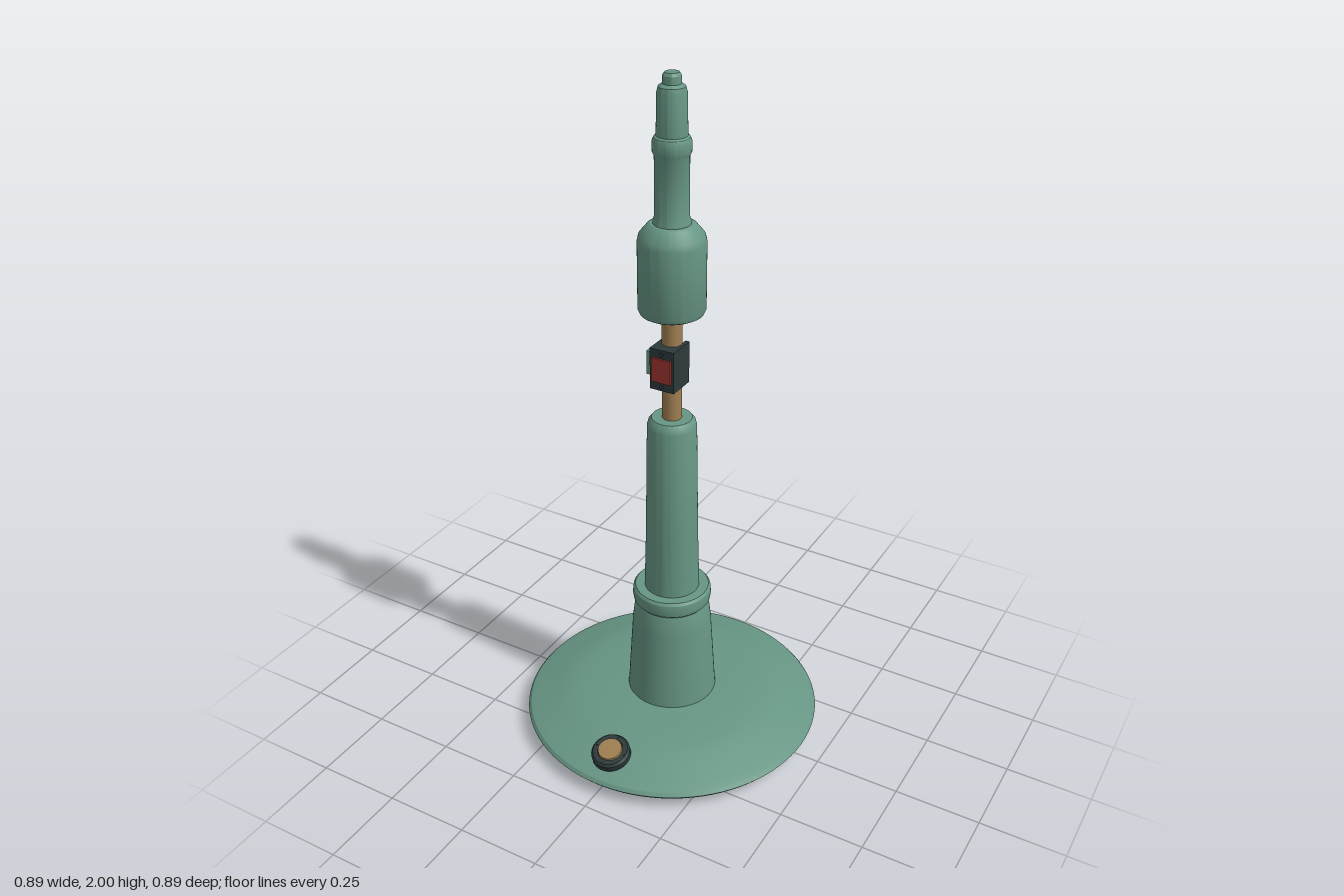
import * as THREE from 'three';
import { toCreasedNormals } from 'three/addons/utils/BufferGeometryUtils.js';

const mat = (name, color) => {
  const m = new THREE.MeshStandardMaterial({ color });
  m.name = name;
  return m;
};

export function createModel() {
  const green = mat('sage green', 0x679684);
  const brass = mat('brass', 0x9f7f52);
  const dark = mat('charcoal', 0x2d3a3b);
  const red = mat('red', 0x9e3530);
  const model = new THREE.Group();
  model.name = 'lampStand';

  const add = (name, geometry, material, x = 0, y = 0, z = 0, parent = model) => {
    const mesh = new THREE.Mesh(geometry, material);
    mesh.name = name;
    mesh.position.set(x, y, z);
    parent.add(mesh);
    return mesh;
  };
  // Turned part from [radius, height] pairs, listed bottom to top
  const turned = (name, profile, material, parent = model, segments = 64) => {
    const points = profile.map(([r, y]) => new THREE.Vector2(r, y));
    return add(name, toCreasedNormals(new THREE.LatheGeometry(points, segments), 0.5), material, 0, 0, 0, parent);
  };
  const box = (name, w, h, d, material, x, y, z, parent) =>
    add(name, new THREE.BoxGeometry(w, h, d), material, x, y, z, parent);

  // Shallow domed foot
  turned('base', [
    [0, 0.005], [0.385, 0.005], [0.40, 0.01], [0.435, 0.036], [0.444, 0.047], [0.436, 0.057], [0.41, 0.067],
    [0.345, 0.086], [0.315, 0.096], [0.28, 0.102], [0.22, 0.108], [0.13, 0.113], [0, 0.113],
  ], green, model, 96);

  // Tapered pedestal, collar and column
  turned('pedestal', [
    [0.134, 0.10], [0.132, 0.125], [0.117, 0.36], [0.112, 0.40], [0.104, 0.43], [0, 0.43],
  ], green);
  turned('collar', [
    [0, 0.425], [0.104, 0.425], [0.113, 0.435], [0.116, 0.452], [0.114, 0.472], [0.108, 0.48], [0, 0.482],
  ], green);
  turned('column', [
    [0.081, 0.47], [0.076, 0.65], [0.070, 1.015], [0.066, 1.03], [0.057, 1.041], [0, 1.041],
  ], green);

  // Brass rod
  add('rod', new THREE.CylinderGeometry(0.028, 0.028, 0.34, 32), brass, 0, 1.2, 0);

  // Socket and stepped finial
  turned('socket', [
    [0, 1.355], [0.078, 1.355], [0.087, 1.36], [0.092, 1.372], [0.092, 1.56], [0.088, 1.578],
    [0.066, 1.605], [0.058, 1.61], [0, 1.612],
  ], green);
  turned('finial', [
    [0.052, 1.60], [0.050, 1.618], [0.046, 1.63], [0.046, 1.79], [0.051, 1.80], [0.051, 1.828], [0.047, 1.838],
    [0.041, 1.842], [0.039, 1.95], [0.035, 1.965], [0.025, 1.972], [0.024, 1.992], [0.019, 2.0], [0, 2.0],
  ], green);

  // Switch clamped around the rod
  const clamp = new THREE.Group();
  clamp.name = 'switch';
  clamp.position.y = 1.206;
  model.add(clamp);
  box('switchBody', 0.074, 0.122, 0.04, dark, 0, 0, 0.036, clamp);
  for (const s of [-1, 1]) {
    box('clampSide', 0.012, 0.122, 0.06, dark, s * 0.031, 0, 0, clamp);
    const screw = add('screw', new THREE.CylinderGeometry(0.006, 0.006, 0.005, 12), dark, 0, s * 0.048, 0.057, clamp);
    screw.rotation.x = Math.PI / 2;
  }
  box('redButton', 0.06, 0.07, 0.008, red, 0, 0, 0.058, clamp);
  box('sideKnob', 0.03, 0.07, 0.036, green, -0.048, 0, 0.012, clamp);

  // Round foot button, tilted with the slope of the base
  const button = new THREE.Group();
  button.name = 'footButton';
  button.position.set(0, 0.083, 0.353);
  button.rotation.x = 0.28;
  model.add(button);
  turned('buttonRing', [
    [0, -0.008], [0.053, -0.008], [0.057, 0.002], [0.057, 0.02], [0.051, 0.027], [0.037, 0.027], [0.037, 0.02], [0, 0.02],
  ], dark, button, 48);
  add('buttonCap', new THREE.CylinderGeometry(0.035, 0.036, 0.012, 40), brass, 0, 0.026, 0, button);
  for (let i = 0; i < 4; i++) {
    const a = i * Math.PI / 2;
    add('ringScrew', new THREE.CylinderGeometry(0.003, 0.003, 0.004, 10), dark,
      0.045 * Math.cos(a), 0.027, 0.045 * Math.sin(a), button);
  }
  return model;
}
